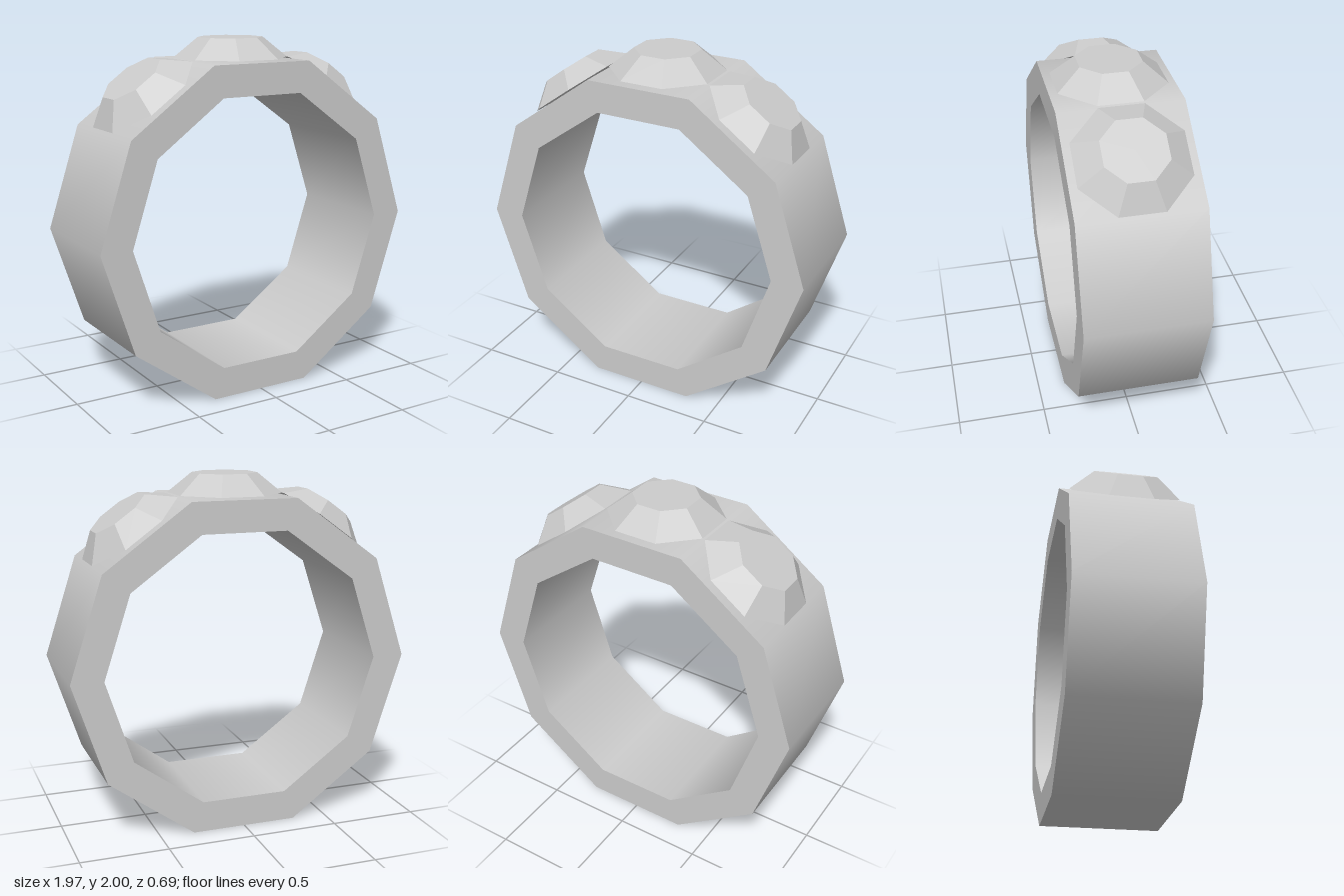
import * as THREE from 'three';
import { mergeGeometries } from 'three/addons/utils/BufferGeometryUtils.js';

const CENTRE_Y = 0.94;
const OUTER = 0.985, INNER = 0.8, HALF_WIDTH = 0.343, SIDES = 10;
const STEP = (Math.PI * 2) / SIDES;

// Ten-sided band: each side of the rectangular section is swept on its own,
// so shading is smooth around the band and sharp at its rims.
function bandGeometry() {
  const section = [
    [OUTER, -HALF_WIDTH], [OUTER, HALF_WIDTH],
    [INNER, HALF_WIDTH], [INNER, -HALF_WIDTH],
  ].map(([r, h]) => new THREE.Vector2(r, h));
  const strips = section.map((p, i) =>
    new THREE.LatheGeometry([p, section[(i + 1) % section.length]], SIDES, Math.PI / 2));
  return mergeGeometries(strips).rotateX(Math.PI / 2);
}

// Eight-sided cut stone, floating just above a flat of the band.
function gemGeometry() {
  const base = 0.947, top = 1.06;
  return new THREE.CylinderGeometry(0.185, 0.325, top - base, 8)
    .rotateY(Math.PI / 8)
    .translate(0, (base + top) / 2, 0);
}

export function createModel() {
  const ring = new THREE.Group();
  ring.name = 'ring';

  const band = new THREE.Mesh(bandGeometry(), new THREE.MeshStandardMaterial({ color: 0xcccccc }));
  band.name = 'band';
  band.position.y = CENTRE_Y;
  ring.add(band);

  // Three stones on the three top flats
  const gem = gemGeometry();
  const gemMaterial = new THREE.MeshStandardMaterial({ color: 0xcccccc, flatShading: true });
  [['rightGem', 1], ['middleGem', 0], ['leftGem', -1]].forEach(([name, turn]) => {
    const stone = new THREE.Mesh(gem, gemMaterial);
    stone.name = name;
    stone.position.y = CENTRE_Y;
    stone.rotation.z = turn * STEP;
    ring.add(stone);
  });

  return ring;
}
